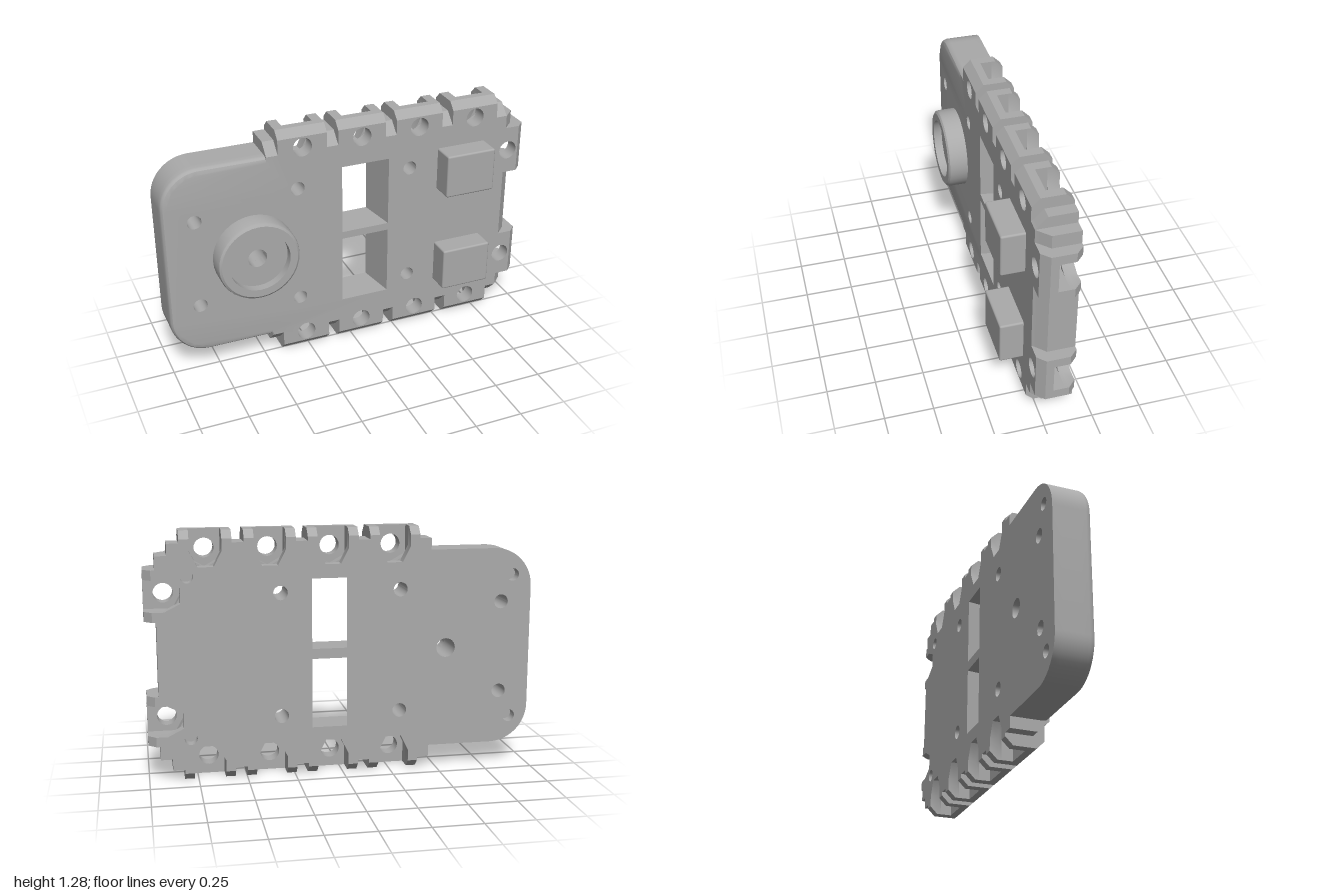
import * as THREE from 'three';
import { toCreasedNormals } from 'three/addons/utils/BufferGeometryUtils.js';
import { RoundedBoxGeometry } from 'three/addons/geometries/RoundedBoxGeometry.js';

const MID = 0.64; // height of the horizontal mirror line
const TEETH_X = [-0.27, 0.05, 0.37, 0.69];
const v = (x, y) => new THREE.Vector2(x, y);
const mirror = (pts) => pts.map((p) => v(p.x, 2 * MID - p.y)).reverse();

// Nut pockets cut into each tooth, as [along, outwards]; null means the tooth's outer edge
const POCKETS = {
  none: [],
  vee: [[-0.08, null], [-0.08, -0.025], [0, -0.07], [0.08, -0.025], [0.08, null]],
  trapezoid: [[-0.08, null], [-0.08, 0.02], [-0.04, -0.06], [0.04, -0.06], [0.08, 0.02], [0.08, null]],
};

// Outer edge of the plate at depth z: rounded left end, toothed rim elsewhere
function outline(z, pocket) {
  const tooth = 0.12 - Math.max(0, z, -0.12 - z);
  const rim = Math.max(0.001, 0.06 - Math.max(0, z + 0.02));
  const k = Math.max(0, z - 0.01);
  const inset = 0.03 - Math.sqrt(Math.max(0, 0.03 ** 2 - k * k));
  const half = [];
  for (let i = 0; i <= 12; i++) {
    const a = Math.PI + (i / 12) * (Math.PI / 2);
    half.push(v(-0.8 + (0.2 - inset) * Math.cos(a), 0.32 + (0.2 - inset) * Math.sin(a)));
  }
  const addTooth = (c, place) => {
    half.push(place(c - 0.13, rim), place(c - 0.13, tooth));
    for (const [u, e] of POCKETS[pocket]) half.push(place(c + u, e ?? tooth));
    half.push(place(c + 0.13, tooth), place(c + 0.13, rim));
  };
  const below = (u, e) => v(u, 0.12 - e);
  const right = (u, e) => v(0.88 + e, u);
  half.push(v(-0.46, 0.12 + inset), below(-0.46, rim));
  TEETH_X.forEach((c) => addTooth(c, below));
  half.push(below(0.88, rim), v(0.88, 0.12), right(0.12, rim));
  addTooth(0.32, right);
  return [...half, ...mirror(half)];
}

// Clockwise ring for a round hole
function ring(x, y, r, n = 24) {
  return Array.from({ length: n }, (_, i) => {
    const a = -(i / n) * Math.PI * 2;
    return v(x + r * Math.cos(a), y + r * Math.sin(a));
  });
}

// All openings in the plate at depth z
function openings(z, rimHoles, blindHoles) {
  const list = [ring(-0.545, 0.645, 0.05)];
  const pair = (x, y, r) => list.push(ring(x, y, r), ring(x, 2 * MID - y, r));
  pair(-0.84, 0.88, 0.037);
  pair(-0.3, 0.96, 0.037);
  pair(0.32, 0.96, 0.037);
  if (rimHoles) {
    TEETH_X.forEach((x) => pair(x, 1.183, 0.05));
    pair(0.9, 0.96, 0.05);
  }
  if (blindHoles) {
    pair(-0.9, 1.02, 0.033);
    pair(0.785, 1.055, 0.033);
  }
  // two tall slots that narrow towards the back
  const t = (0.04 - z) * 0.2;
  const s = t * 0.15;
  const slot = [v(-0.06 + t, 0.66 + s), v(-0.06 + t, 1.035 - s), v(0.2 - t, 1.035 - s), v(0.2 - t, 0.66 + s)];
  list.push(slot, mirror(slot));
  return list;
}

// Plate layers joined from cross-sections at successive depths
function plateGeometry() {
  const pos = [];
  const cap = (loops, z, flip) => {
    const all = loops.flat();
    for (const f of THREE.ShapeUtils.triangulateShape(loops[0].slice(), loops.slice(1))) {
      const order = flip ? [f[0], f[2], f[1]] : f;
      for (const i of order) pos.push(all[i].x, all[i].y, z);
    }
  };
  const layers = [
    { z: [-0.16, -0.12, -0.1], pocket: 'trapezoid', blind: true },
    { z: [-0.1, -0.04], pocket: 'vee' },
    { z: [-0.04, -0.02, 0, 0.01, 0.025, 0.034, 0.04], pocket: 'none', holes: true },
  ];
  for (const { z, pocket, holes, blind } of layers) {
    const sections = z.map((d) => [outline(d, pocket), ...openings(d, holes, blind)]);
    cap(sections[0], z[0], true);
    cap(sections[z.length - 1], z[z.length - 1], false);
    for (let k = 0; k + 1 < z.length; k++) {
      sections[k].forEach((a, l) => {
        const b = sections[k + 1][l];
        a.forEach((p, i) => {
          const j = (i + 1) % a.length;
          const A = [p.x, p.y, z[k]];
          const B = [a[j].x, a[j].y, z[k]];
          const C = [b[j].x, b[j].y, z[k + 1]];
          const D = [b[i].x, b[i].y, z[k + 1]];
          pos.push(...A, ...B, ...C, ...A, ...C, ...D);
        });
      });
    }
  }
  const g = new THREE.BufferGeometry();
  g.setAttribute('position', new THREE.Float32BufferAttribute(pos, 3));
  g.computeVertexNormals();
  return toCreasedNormals(g, 0.5);
}

export function createModel() {
  const model = new THREE.Group();
  model.name = 'mountingPlate';
  const grey = new THREE.MeshStandardMaterial({ color: 0xaaaaaa });
  grey.name = 'grey plastic';
  const add = (name, geometry, x = 0, y = 0, z = 0) => {
    const mesh = new THREE.Mesh(geometry, grey);
    mesh.name = name;
    mesh.position.set(x, y, z);
    model.add(mesh);
  };

  add('toothedPlate', plateGeometry());

  // Round boss with a recessed face and a central bore
  const profile = [
    [0.215, 0.03], [0.215, 0.125], [0.211, 0.137], [0.2, 0.145], [0.16, 0.145],
    [0.16, 0.1], [0.05, 0.1], [0.05, 0.03],
  ].map(([r, h]) => v(r, h));
  const boss = new THREE.LatheGeometry(profile, 36).rotateX(Math.PI / 2);
  add('roundBoss', toCreasedNormals(boss, 0.6), -0.545, 0.645, 0);

  // Two rectangular blocks on the front
  for (const [name, y] of [['upperBlock', 0.925], ['lowerBlock', 0.365]]) {
    add(name, new RoundedBoxGeometry(0.275, 0.235, 0.14, 2, 0.01), 0.618, y, 0.09);
  }
  return model;
}
